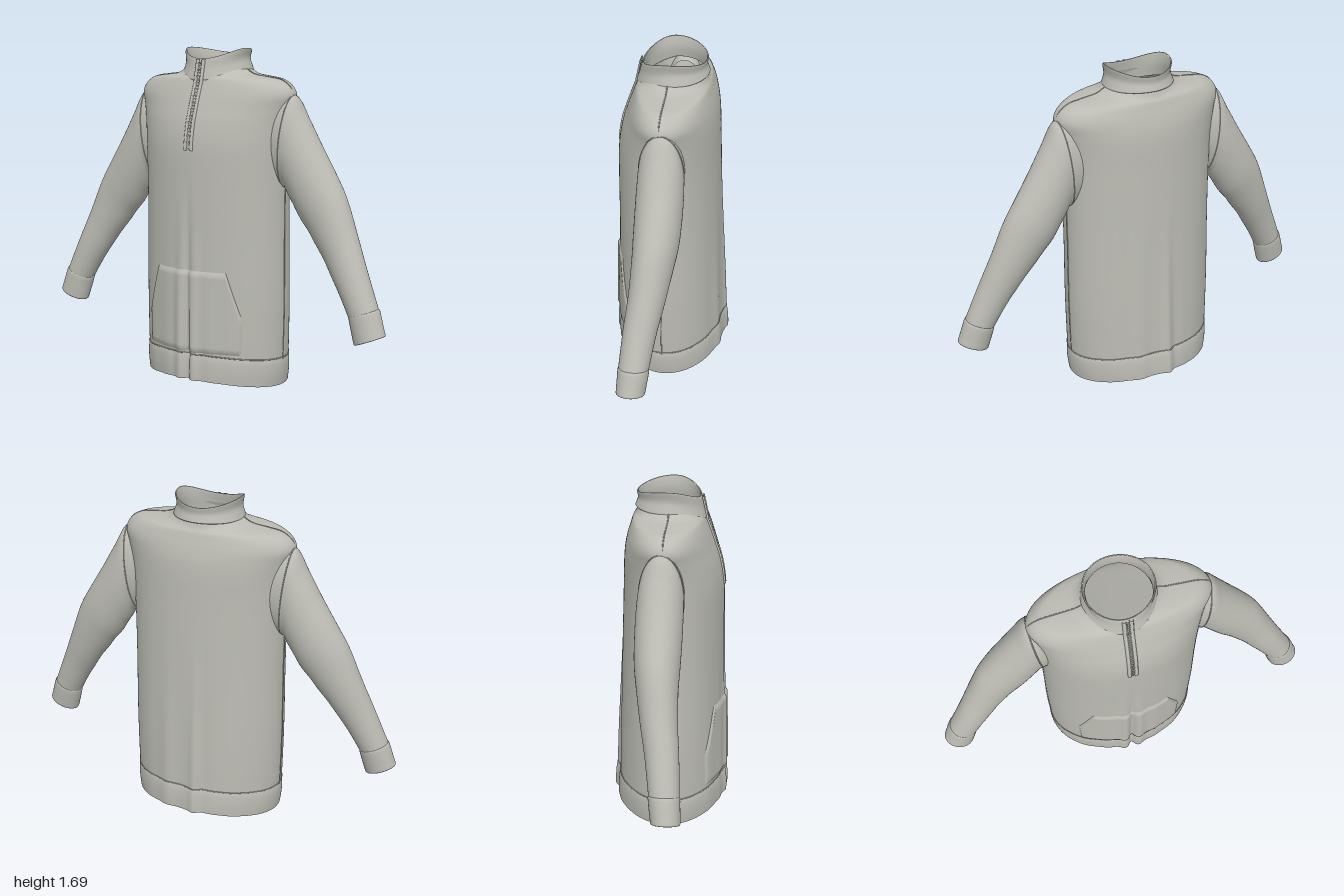
import * as THREE from 'three';

const fabric = new THREE.MeshStandardMaterial({ color: 0xbcbcb4, side: THREE.DoubleSide });
fabric.name = 'grey fabric';

// Grid surface from a rule f(u, v) -> [x, y, z]; closed joins u = 1 to u = 0
function surface(name, nu, nv, closed, f) {
  const pos = [], idx = [], cols = closed ? nu : nu + 1;
  for (let j = 0; j <= nv; j++)
    for (let i = 0; i < cols; i++) pos.push(...f(i / nu, j / nv));
  for (let j = 0; j < nv; j++)
    for (let i = 0; i < nu; i++) {
      const a = j * cols + i, b = j * cols + (i + 1) % cols;
      idx.push(a, a + cols, b, b, a + cols, b + cols);
    }
  const g = new THREE.BufferGeometry();
  g.setAttribute('position', new THREE.Float32BufferAttribute(pos, 3));
  g.setIndex(idx);
  g.computeVertexNormals();
  return named(name, g);
}

function named(name, geometry) {
  const m = new THREE.Mesh(geometry, fabric);
  m.name = name;
  return m;
}

function seam(name, points, closed = false) {
  const curve = new THREE.CatmullRomCurve3(points.map(p => new THREE.Vector3(...p)), closed);
  return named(name, new THREE.TubeGeometry(curve, points.length * 4, 0.003, 6, closed));
}

// Smooth interpolation through rows of numbers, t from 0 to 1
function spline(rows, t) {
  const n = rows.length - 1, s = Math.min(t * n, n - 1e-9), i = Math.floor(s), f = s - i;
  const at = k => rows[Math.max(0, Math.min(n, k))];
  return rows[0].map((_, c) => {
    const p0 = at(i - 1)[c], p1 = at(i)[c], p2 = at(i + 1)[c], p3 = at(i + 2)[c];
    const m1 = (p2 - p0) / 2, m2 = (p3 - p1) / 2, d = p2 - p1;
    return p1 + f * (m1 + f * (3 * d - 2 * m1 - m2 + f * (m1 + m2 - 2 * d)));
  });
}

// Body profile: height, half width, front depth, back depth
const BODY = [
  [0.00, 0.385, 0.272, 0.278], [0.13, 0.398, 0.272, 0.274], [0.30, 0.403, 0.271, 0.270],
  [0.50, 0.405, 0.269, 0.264], [0.75, 0.403, 0.267, 0.256], [1.00, 0.404, 0.266, 0.248],
  [1.20, 0.410, 0.262, 0.241], [1.32, 0.420, 0.243, 0.237], [1.40, 0.435, 0.218, 0.230],
  [1.46, 0.450, 0.197, 0.217], [1.505, 0.430, 0.180, 0.203], [1.538, 0.380, 0.166, 0.192],
  [1.55, 0.310, 0.157, 0.184], [1.563, 0.220, 0.150, 0.177], [1.59, 0.172, 0.140, 0.168],
];
const dense = Array.from({ length: 201 }, (_, i) => spline(BODY, i / 200));

function bodyRow(y) {
  let i = 0;
  while (i < 199 && dense[i + 1][0] < y) i++;
  const a = dense[i], b = dense[i + 1];
  const f = THREE.MathUtils.clamp((y - a[0]) / (b[0] - a[0]), 0, 1);
  return a.map((v, c) => v + (b[c] - v) * f);
}

// Hanging folds that fade out upward
function fold(x, y, front) {
  const k = 1 - THREE.MathUtils.smoothstep(y, 0.1, 1.15);
  const bump = (c, r) => Math.exp(-(((x - c) / r) ** 2));
  const ripple = 0.003 * Math.cos(x * 48) * (1 - Math.min(1, Math.abs(x) / 0.38));
  if (front) return k * (ripple + 0.016 * (bump(0.045, 0.028) + bump(-0.045, 0.028)) - 0.022 * bump(0, 0.016));
  return k * (ripple + 0.018 * bump(-0.03, 0.026) + 0.005 * bump(0.14, 0.04) + 0.005 * bump(-0.2, 0.04));
}

function bodyPoint([y, w, zf, zb], u, out = 0) {
  const a = u * Math.PI * 2, s = Math.sin(a), depth = Math.abs(s);
  const x = (w + out) * Math.cos(a), front = s > 0;
  const z = ((front ? zf : zb) + out) * depth + fold(x, y, front) * Math.min(1, depth * 2);
  const lift = 0.03 * s * s * Math.max(0, 1 - y / 0.5);
  return [x, y + lift, front ? z : -z];
}

function frontZ(x, y) {
  const [, w, zf] = bodyRow(y);
  const depth = Math.sqrt(Math.max(0, 1 - (x / w) ** 2));
  return zf * depth + fold(x, y, true) * Math.min(1, depth * 2);
}

// Sleeve sections: outer x, y, inner x, y, front z, back z
const SLEEVE = [
  [0.375, 1.45, 0.330, 1.04, 0.098, -0.112], [0.452, 1.465, 0.400, 1.01, 0.100, -0.118],
  [0.515, 1.36, 0.427, 0.985, 0.102, -0.124], [0.59, 1.23, 0.465, 0.92, 0.102, -0.124],
  [0.67, 1.10, 0.52, 0.84, 0.100, -0.118], [0.74, 0.98, 0.58, 0.765, 0.098, -0.100],
  [0.81, 0.81, 0.655, 0.665, 0.104, -0.074], [0.875, 0.655, 0.73, 0.555, 0.117, -0.045],
  [0.953, 0.47, 0.812, 0.415, 0.128, -0.018],
];
const CUFF = [
  [0.945, 0.470, 0.822, 0.422, 0.122, -0.012], [0.957, 0.470, 0.812, 0.413, 0.130, -0.020],
  [0.972, 0.430, 0.822, 0.372, 0.132, -0.016], [0.985, 0.39, 0.834, 0.33, 0.134, -0.010],
  [0.998, 0.352, 0.846, 0.292, 0.135, -0.004], [0.990, 0.352, 0.852, 0.297, 0.129, 0.002],
];

function limbPoint(rows, side, u, v, wrinkle) {
  const [ox, oy, ix, iy, zf, zb] = spline(rows, v);
  const a = -side * u * Math.PI * 2;
  const k = 1 + wrinkle * Math.sin(v * 34 + 2 * Math.cos(a)) * (0.5 - 0.5 * Math.cos(a));
  const c = Math.cos(a) * k / 2, s = Math.sin(a) / 2;
  return [side * ((ox + ix) / 2 + (ox - ix) * c), (oy + iy) / 2 + (oy - iy) * c, (zf + zb) / 2 + (zf - zb) * s];
}

// Collar profile: height fraction, half width, front depth, back depth
const COLLAR = [
  [-0.05, 0.172, 0.157, 0.170], [0.02, 0.180, 0.172, 0.182], [0.2, 0.174, 0.168, 0.178],
  [0.55, 0.163, 0.157, 0.170], [0.95, 0.171, 0.147, 0.174], [1.0, 0.167, 0.141, 0.170],
  [0.93, 0.162, 0.138, 0.166], [0.5, 0.155, 0.146, 0.162], [0.0, 0.162, 0.152, 0.162],
];

function collarPoint(u, v) {
  const [h, w, zf, zb] = spline(COLLAR, v);
  const a = u * Math.PI * 2, s = Math.sin(a);
  const low = s > 0 ? 1.58 - 0.048 * s : 1.58 - 0.006 * s;
  const top = 1.69 - (s > 0 ? 0.052 : 0.03) * s * s;
  return [w * Math.cos(a), low + (top - low) * h, s * (s > 0 ? zf : zb)];
}

export function createModel() {
  const model = new THREE.Group();
  model.name = 'pullover';

  // Body and hem band
  model.add(surface('body', 240, 70, true, (u, v) => bodyPoint(spline(BODY, (0.95 + v * 13.05) / 14), u)));
  model.add(surface('hemBand', 240, 12, true, (u, v) =>
    bodyPoint(bodyRow(v * 0.138), u, 0.009 * Math.sin(Math.PI * Math.min(1, 0.3 + v * 0.72)) ** 0.5)));
  const loop = Array.from({ length: 72 }, (_, i) => bodyPoint(bodyRow(0.142), i / 72, 0.001));
  model.add(seam('hemSeam', loop, true));

  // Sleeves, cuffs, side, shoulder and armhole seams
  for (const side of [1, -1]) {
    const tag = side > 0 ? 'left' : 'right';
    model.add(surface(tag + 'Sleeve', 48, 56, true, (u, v) => limbPoint(SLEEVE, side, u, v, 0.012)));
    model.add(surface(tag + 'Cuff', 48, 20, true, (u, v) => limbPoint(CUFF, side, u, v, 0)));
    model.add(seam(tag + 'SideSeam', BODY.slice(1, 6).map(r => [side * r[1], r[0], 0])));
    model.add(seam(tag + 'ShoulderSeam', BODY.slice(9).map(r => [side * r[1], r[0], 0])));
    const armhole = Array.from({ length: 24 }, (_, i) => limbPoint(SLEEVE, side, i / 24, 0.115, 0));
    model.add(seam(tag + 'ArmholeSeam', armhole, true));
  }

  // Stand collar
  model.add(surface('collar', 72, 32, true, collarPoint));

  // Pocket: plate over the front, sides slanting in to the top
  const pocketHalf = y => y < 0.35 ? 0.277 + (y - 0.17) * 0.03 : 0.283 - (y - 0.35) * 0.325;
  model.add(surface('pocket', 90, 24, false, (u, v) => {
    const y = 0.17 + 0.422 * v, x = (1 - 2 * u) * pocketHalf(y);
    const edge = u === 0 || u === 1 || v === 0 || v === 1;
    return [x, y, frontZ(x, y - 0.01) + (edge ? -0.002 : 0.01)];
  }));

  // Zip: two tapes with rows of teeth between, running onto the collar
  const zipZ = y => y > 1.53 ? THREE.MathUtils.mapLinear(y, 1.53, 1.64, 0.173, 0.149) : Math.max(frontZ(0, y), y > 1.5 ? 0.173 : 0);
  const zip = new THREE.Group();
  zip.name = 'zip';
  for (const side of [1, -1]) {
    zip.add(surface('zipTape', 6, 40, false, (u, v) => {
      const y = 1.19 + 0.447 * v, x = side * 0.017 + (0.5 - u) * 0.02;
      return [x, y, zipZ(y) + 0.009 * Math.sin(Math.PI * u) ** 0.5 - 0.001];
    }));
  }
  const tooth = new THREE.BoxGeometry(0.014, 0.008, 0.006);
  for (let i = 0; i < 27; i++) {
    const y = 1.2 + i * 0.016, t = named('zipTooth', tooth);
    t.position.set(i % 2 ? 0.002 : -0.002, y, zipZ(y) + 0.002);
    zip.add(t);
  }
  model.add(zip);
  return model;
}
